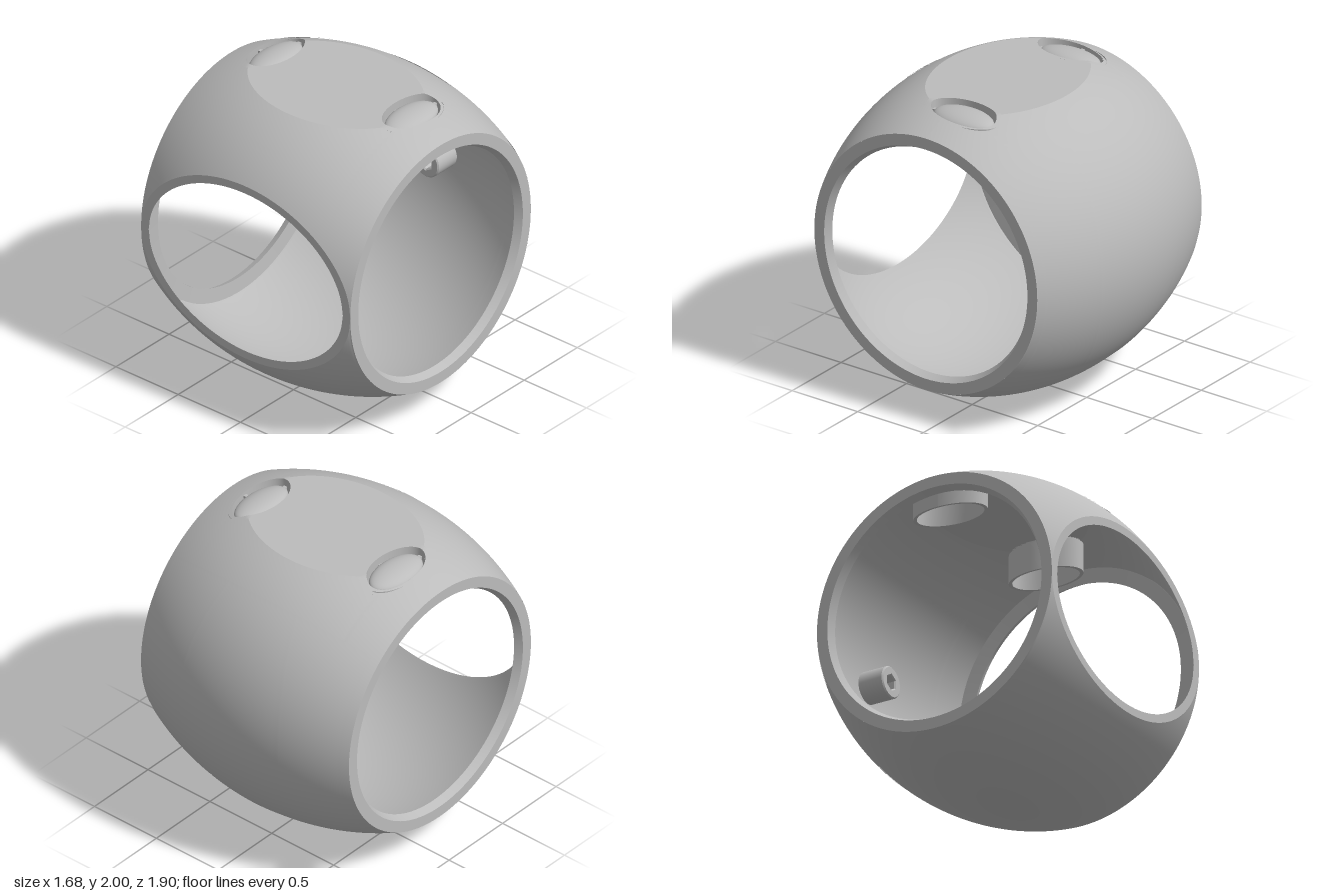
import * as THREE from 'three';
import { toCreasedNormals } from 'three/addons/utils/BufferGeometryUtils.js';

const CY = 1.05, CZ = 0.1;        // barrel axis (runs along x)
const RHO = 1.864, RMAX = 1.05;   // bulge arc and largest radius
const TOP = 2.0, FRONT = 0.95;    // flat cuts
const WALL = 0.03;
const EYE = { x: 0.545, z: 0.03, rx: 0.137, rz: 0.24 };

const radius = x => RMAX - RHO + Math.sqrt(RHO * RHO - x * x);
const arc = c => Math.acos(Math.min(1, c));
// height of the outer skin above a point in plan
const skin = (x, z) => Math.min(TOP, CY + Math.sqrt(radius(x) ** 2 - (z - CZ) ** 2));
const around = (x, r, a) => [x, CY + r * Math.sin(a), CZ + r * Math.cos(a)];

// surface from a rule f(u, v) -> [x, y, z]; skip(x, y, z) drops triangles
function grid(f, nu, nv, skip) {
  const pos = [], index = [];
  for (let i = 0; i <= nu; i++) for (let j = 0; j <= nv; j++) pos.push(...f(i / nu, j / nv));
  const tri = new THREE.Triangle(), m = new THREE.Vector3();
  const point = k => new THREE.Vector3().fromArray(pos, k * 3);
  const add = (a, b, c) => {
    tri.set(point(a), point(b), point(c));
    if (tri.getArea() < 1e-9) return;
    tri.getMidpoint(m);
    if (!skip || !skip(m.x, m.y, m.z)) index.push(a, b, c);
  };
  for (let i = 0; i < nu; i++) for (let j = 0; j < nv; j++) {
    const a = i * (nv + 1) + j, b = a + nv + 1;
    add(a, b, b + 1);
    add(a, b + 1, a + 1);
  }
  const g = new THREE.BufferGeometry();
  g.setAttribute('position', new THREE.Float32BufferAttribute(pos, 3));
  g.setIndex(index);
  g.computeVertexNormals();
  return g;
}

const inEye = (x, y, z) => y > CY &&
  ((Math.abs(x) - EYE.x) / EYE.rx) ** 2 + ((z - EYE.z) / EYE.rz) ** 2 < 1.06;

export function createModel() {
  const model = new THREE.Group();
  model.name = 'barrelHelmet';
  const grey = new THREE.MeshStandardMaterial({ color: 0xbcbcbc, side: THREE.DoubleSide });
  grey.name = 'plainGrey';
  const add = (name, geometry, parent = model) => {
    const mesh = new THREE.Mesh(geometry, grey);
    mesh.name = name;
    parent.add(mesh);
    return mesh;
  };

  // columns packed more closely towards the open ends
  const column = (u, half) => {
    const t = 2 * u - 1;
    return half * (0.6 * t + 0.4 * Math.sin(t * Math.PI / 2));
  };

  // shell: two curved strips and the flat crown, outside and inside
  function skinLayer(name, half, inset, inside) {
    const at = u => {
      const x = column(inside ? 1 - u : u, half), r = radius(x) - inset;
      const b = arc((FRONT - CZ) / r), a = arc((TOP - inset - CY) / r);
      return { x, r, a, b };
    };
    const strip = (from, to) => (u, v) => {
      const s = at(u), p = from(s), q = to(s);
      return around(s.x, s.r, p + (q - p) * v);
    };
    const up = Math.PI / 2;
    add(name + 'Brow', grid(strip(s => s.b, s => up - s.a), 96, 40, inEye));
    add(name + 'Back', grid(strip(s => up + s.a, s => 2 * Math.PI - s.b), 96, 140, inEye));
    add(name + 'Crown', grid((u, v) => {
      const s = at(u);
      return [s.x, CY + s.r * Math.cos(s.a), CZ + s.r * Math.sin(s.a) * (1 - 2 * v)];
    }, 96, 50, inEye));
  }
  skinLayer('outerShell', 0.84, 0, false);
  skinLayer('innerShell', 0.78, WALL, true);

  // flat frame of the front opening
  for (const s of [1, -1]) {
    const edge = (u, half, inset) => {
      const x = column(u, half), r = radius(x) - inset;
      return [x, CY + s * r * Math.sin(arc((FRONT - CZ) / r)), FRONT];
    };
    add('frontFrame', grid((u, v) => {
      const o = edge(u, 0.84, 0), i = edge(u, 0.78, WALL);
      return o.map((c, k) => s > 0 ? i[k] + (c - i[k]) * v : c + (i[k] - c) * v);
    }, 96, 1));
  }

  // end rims with a slightly tapered lip
  const rim = [[0.85, 0.84], [0.775, 0.84], [0.75, 0.79], [0.845, 0.78]]
    .map(p => new THREE.Vector2(...p));
  for (const s of [1, -1]) {
    const g = toCreasedNormals(new THREE.LatheGeometry(rim, 128), 0.35);
    g.rotateZ(-s * Math.PI / 2);
    add(s > 0 ? 'leftRim' : 'rightRim', g).position.set(0, CY, CZ);
  }

  // eyes in deep oval sockets
  for (const s of [1, -1]) {
    const eye = new THREE.Group();
    eye.name = s > 0 ? 'leftEye' : 'rightEye';
    model.add(eye);
    const oval = (u, k) => {
      const a = u * 2 * Math.PI;
      return [s * (EYE.x + EYE.rx * k * Math.cos(a)), EYE.z + EYE.rz * k * Math.sin(a)];
    };
    const ring = (k0, k1, y0, y1) => grid((u, v) => {
      const k = k0 + (k1 - k0) * v, [x, z] = oval(u, k);
      const h = skin(x, z), a = y0 ?? h + 0.002, b = y1 ?? h + 0.002;
      return [x, a + (b - a) * v, z];
    }, 64, 3);
    add('socketLip', ring(1.12, 0.96), eye);
    add('socketInnerWall', ring(0.96, 0.96, undefined, 1.77), eye);
    add('socketOuterWall', ring(1.06, 1.06, 1.77, 1.96), eye);
    add('socketFoot', ring(0.96, 1.06, 1.77, 1.77), eye);

    const ball = add('eyeball', new THREE.SphereGeometry(1, 40, 24), eye);
    ball.scale.set(0.115, 0.05, 0.215);
    ball.position.set(s * EYE.x, 1.945, EYE.z);
    ball.rotation.z = -s * 0.1;

    // small bridges holding the eyeball
    for (let k = 0; k < 4; k++) {
      const [x, z] = oval(k / 4, 0.9);
      const across = k % 2 === 0;
      add('eyeBridge', new THREE.BoxGeometry(across ? 0.035 : 0.025, 0.02, across ? 0.025 : 0.05), eye)
        .position.set(x, 1.94, z);
    }

    // eyebrow: tapering strip laid on the skin
    add(s > 0 ? 'leftEyebrow' : 'rightEyebrow', grid((u, v) => {
      const x = 0.44 + 0.31 * u;
      const z = -0.368 + 0.058 * u * u + (v - 0.5) * 0.027 * Math.sqrt(1 - u) * Math.min(1, 0.4 + u * 8);
      return [s * x, skin(x, z) + 0.004, z];
    }, 24, 2));
  }

  // smile: crescent laid on the skin
  add('smile', grid((u, v) => {
    const t = 2 * u - 1, x = 0.18 * t;
    const z = 0.74 + (1 - t * t) * (0.025 + 0.035 * v);
    return [x, skin(x, z) + 0.004, z];
  }, 32, 3));

  // back panels: a centre piece widest at the middle, and two sides
  const a0 = THREE.MathUtils.degToRad(131), a1 = THREE.MathUtils.degToRad(224);
  const seam = v => 0.27 + 0.13 * Math.sin(v * Math.PI);
  const panel = (x0, x1) => grid((u, v) => {
    const x = x0(v) + (x1(v) - x0(v)) * u;
    return around(x, radius(x) + 0.004, a0 + (a1 - a0) * v);
  }, 24, 64);
  add('backCentrePanel', panel(v => -seam(v) + 0.005, v => seam(v) - 0.005));
  add('backLeftPanel', panel(v => seam(v) + 0.005, () => 0.79));
  add('backRightPanel', panel(() => -0.79, v => -seam(v) - 0.005));

  // peg on the inside of the back wall, with a hexagonal socket
  const peg = new THREE.Shape().absarc(0, 0, 0.095, 0, Math.PI * 2);
  const hex = new THREE.Path();
  hex.setFromPoints(Array.from({ length: 7 }, (_, k) => {
    const a = Math.PI / 2 - k * Math.PI / 3;
    return new THREE.Vector2(0.058 * Math.cos(a), 0.058 * Math.sin(a));
  }));
  peg.holes.push(hex);
  const pegShape = new THREE.ExtrudeGeometry(peg, {
    depth: 0.18, curveSegments: 32, bevelSize: 0.008, bevelThickness: 0.008, bevelSegments: 1,
  });
  add('peg', toCreasedNormals(pegShape, 0.5)).position.set(0, CY, -0.93);
  add('pegSocketFloor', new THREE.CircleGeometry(0.07, 24)).position.set(0, CY, -0.82);

  return model;
}
